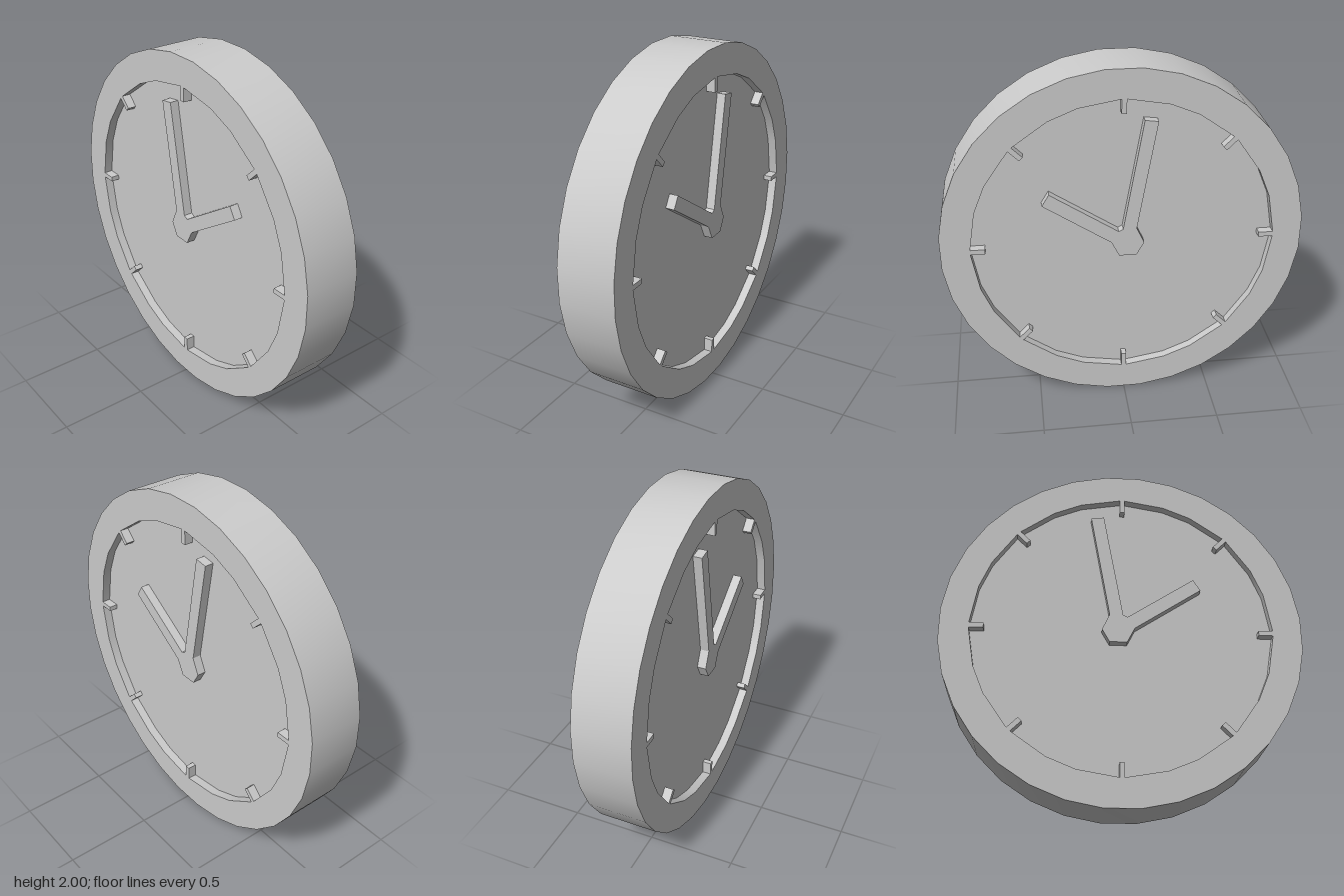
import * as THREE from 'three';
import { toCreasedNormals } from 'three/addons/utils/BufferGeometryUtils.js';

const HALF_DEPTH = 0.165; // half thickness of the clock
const RECESS = 0.05;      // how far the dial sits below the rim
const DIAL = HALF_DEPTH - RECESS;

const material = new THREE.MeshStandardMaterial({ color: 0xcccccc });

// point given by radius, sideways offset and angle
const polar = (r, side, a) => new THREE.Vector2(
  r * Math.cos(a) - side * Math.sin(a), r * Math.sin(a) + side * Math.cos(a));

function solid(name, shape, z, depth) {
  const geometry = new THREE.ExtrudeGeometry(shape, { depth, bevelEnabled: false });
  geometry.translate(0, 0, z);
  const mesh = new THREE.Mesh(toCreasedNormals(geometry, 0.45), material);
  mesh.name = name;
  return mesh;
}

function ring(sides, radius) {
  return Array.from({ length: sides }, (_, i) => polar(radius, 0, (i + 0.5) / sides * Math.PI * 2));
}

export function createModel() {
  const clock = new THREE.Group();
  clock.name = 'clock';

  // rim, whose opening carries eight hour ticks
  const rim = new THREE.Shape(ring(32, 1.0048));
  const opening = [];
  for (let i = 0; i < 8; i++) {
    const a = i * Math.PI / 4;
    for (const [r, side] of [[0.84, -0.014], [0.76, -0.014], [0.76, 0.014], [0.84, 0.014]]) {
      opening.push(polar(r, side, a));
    }
    for (const deg of [16.7, 28.3]) opening.push(polar(0.836, 0, a + deg * Math.PI / 180));
  }
  rim.holes.push(new THREE.Path(opening.reverse()));
  clock.add(solid('rimWithTicks', rim, -HALF_DEPTH, HALF_DEPTH * 2));

  // dial plate, recessed on both sides
  clock.add(solid('dial', new THREE.Shape(ring(32, 0.9)), -DIAL, DIAL * 2));

  // joined minute and hour hands, mirrored onto the back
  const hands = new THREE.Shape([
    [-0.18, 0.71], [-0.07, 0.088], [-0.112, -0.003], [-0.07, -0.078], [0.027, -0.078],
    [0.07, 0.008], [0.443, 0.257], [0.403, 0.322], [0.03, 0.075], [0.005, 0.088], [-0.107, 0.72],
  ].map(([x, y]) => new THREE.Vector2(x, y)));
  clock.add(solid('frontHands', hands, DIAL - 0.01, RECESS + 0.01));
  clock.add(solid('backHands', hands, -HALF_DEPTH, RECESS + 0.01));

  clock.position.y = 1;
  const model = new THREE.Group();
  model.add(clock);
  return model;
}
